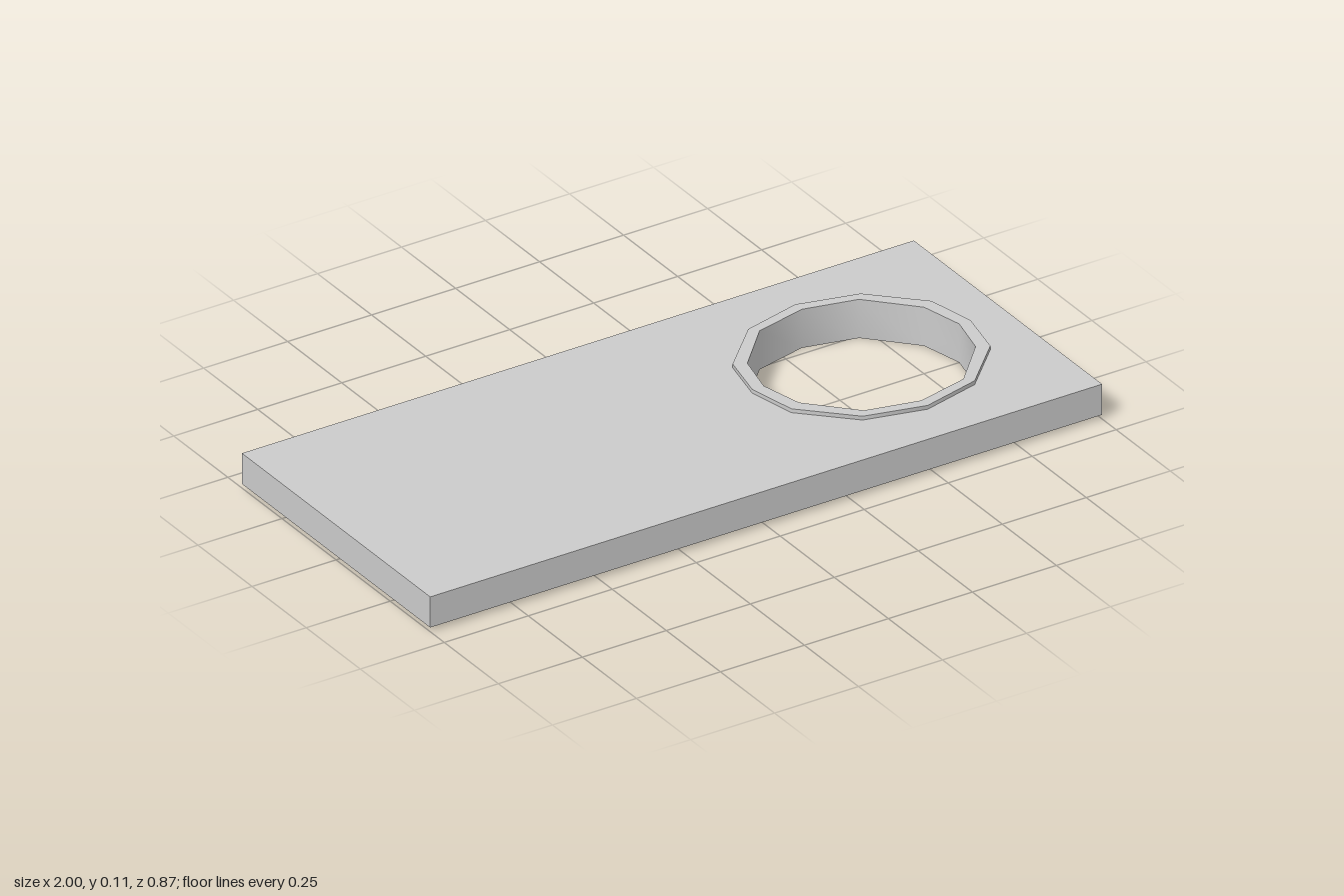
import * as THREE from 'three';
import { toCreasedNormals } from 'three/addons/utils/BufferGeometryUtils.js';

const CENTER_X = 0.564;

// Full twelve-sided outline mirrored from one quadrant of [x, z] offsets
function ringPoints(quadrant) {
  const points = [];
  let corners = quadrant;
  for (const [sx, sz] of [[1, 1], [-1, 1], [-1, -1], [1, -1]]) {
    corners = sx * sz > 0 ? quadrant : [...quadrant].reverse();
    // each quadrant skips its last corner, which starts the next one
    for (const [x, z] of corners.slice(0, -1)) {
      points.push(new THREE.Vector2(CENTER_X + sx * x, sz * z));
    }
  }
  return points;
}

// Extrude an outline with one hole upward between two heights
function slab(name, outline, hole, bottom, top, material) {
  const shape = new THREE.Shape(outline);
  shape.holes.push(new THREE.Path(hole));
  let geometry = new THREE.ExtrudeGeometry(shape, { depth: top - bottom, bevelEnabled: false });
  geometry.rotateX(-Math.PI / 2);
  geometry.translate(0, bottom, 0);
  geometry = toCreasedNormals(geometry, 0.8);
  const mesh = new THREE.Mesh(geometry, material);
  mesh.name = name;
  return mesh;
}

export function createModel() {
  const group = new THREE.Group();
  group.name = 'plateWithRing';
  const grey = new THREE.MeshStandardMaterial({ color: 0xcccccc });

  const outer = ringPoints([[0.325, 0], [0.296, 0.136], [0.167, 0.264], [0, 0.306]]);
  const inner = ringPoints([[0.291, 0], [0.263, 0.119], [0.148, 0.241], [0, 0.276]]);

  // Flat rectangular plate, cut out where the ring sits
  const rectangle = [[-1, -0.435], [1, -0.435], [1, 0.435], [-1, 0.435]]
    .map(([x, z]) => new THREE.Vector2(x, z));
  group.add(slab('plate', rectangle, outer, 0.012, 0.1, grey));

  // Ring lining the opening, slightly proud of both faces
  group.add(slab('openingRing', outer, inner, 0, 0.111, grey));

  return group;
}
